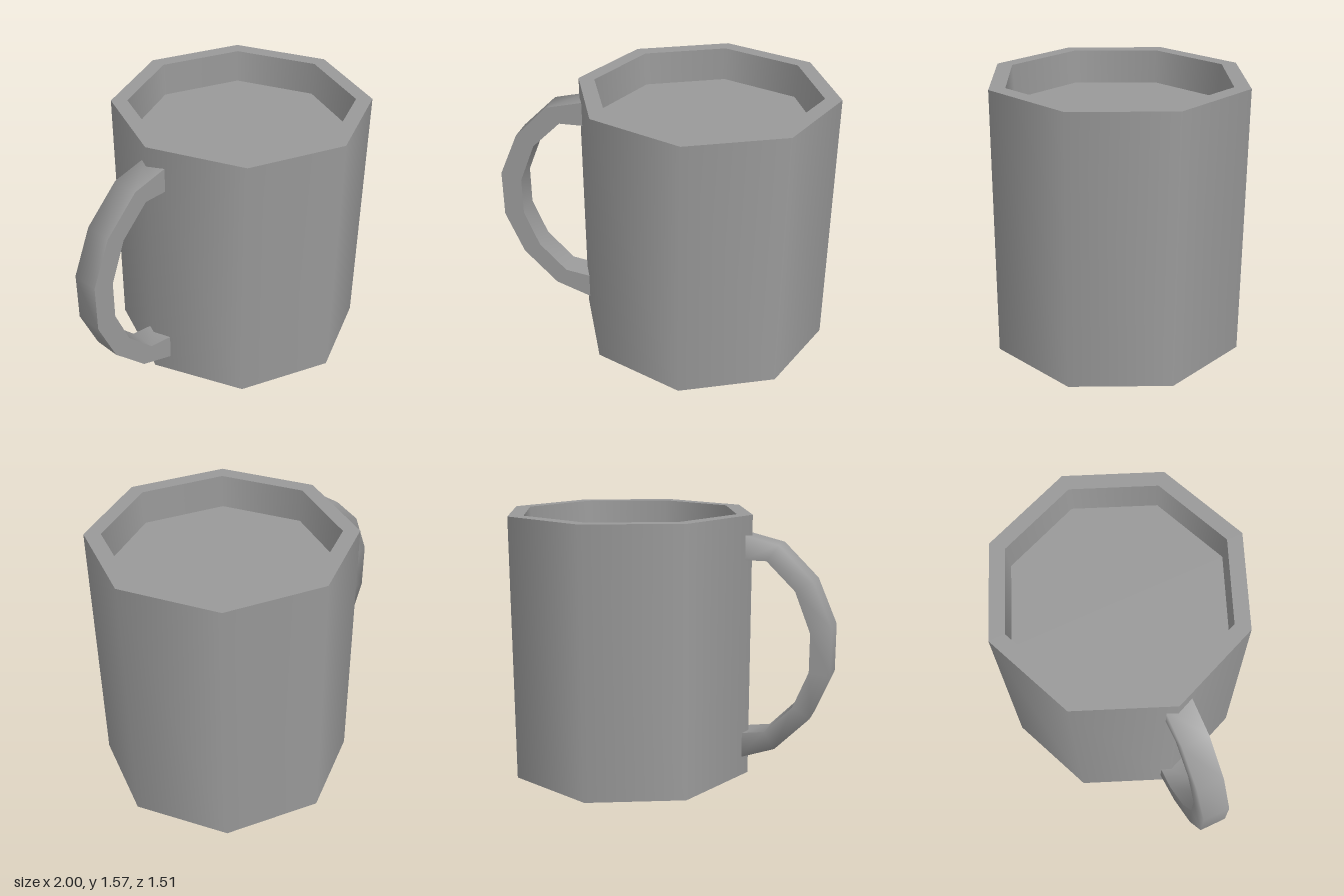
import * as THREE from 'three';

const grey = new THREE.MeshStandardMaterial({ color: 0x999999, side: THREE.DoubleSide });
grey.name = 'plain grey';

const SIDES = 8;
const HEIGHT = 1.57;
const FLOOR = 1.37;
const R_OUT = 0.755, R_IN = 0.66, R_FLOOR = 0.65;

// One eight-sided band swept between two (radius, height) points
function band(name, from, to) {
  const points = [new THREE.Vector2(...from), new THREE.Vector2(...to)];
  const mesh = new THREE.Mesh(new THREE.LatheGeometry(points, SIDES), grey);
  mesh.name = name;
  return mesh;
}

// Smooth skin stretched over several rows of points of equal length
function skin(name, rows) {
  const n = rows[0].length;
  const index = [];
  for (let r = 0; r < rows.length - 1; r++) {
    for (let i = 0; i < n - 1; i++) {
      const a = r * n + i, b = a + n;
      index.push(a, b, a + 1, b, b + 1, a + 1);
    }
  }
  const geometry = new THREE.BufferGeometry();
  geometry.setAttribute('position', new THREE.Float32BufferAttribute(rows.flat(2), 3));
  geometry.setIndex(index);
  geometry.computeVertexNormals();
  const mesh = new THREE.Mesh(geometry, grey);
  mesh.name = name;
  return mesh;
}

export function createModel() {
  const model = new THREE.Group();
  model.name = 'mug';

  // Octagonal cup, filled almost to the rim
  const cup = new THREE.Group();
  cup.name = 'cup';
  cup.position.x = 0.245;
  cup.add(
    band('base', [0, 0], [R_OUT, 0]),
    band('outerWall', [R_OUT, 0], [R_OUT, HEIGHT]),
    band('rim', [R_OUT, HEIGHT], [R_IN, HEIGHT]),
    band('innerWall', [R_IN, HEIGHT], [R_FLOOR, FLOOR]),
    band('drinkSurface', [R_FLOOR, FLOOR], [0, FLOOR]),
  );
  model.add(cup);

  // Handle: outer and inner outlines from top to bottom
  const outer = [[-0.467, 1.46], [-0.68, 1.41], [-0.885, 1.21], [-1, 0.945],
    [-1, 0.66], [-0.89, 0.4], [-0.685, 0.19], [-0.467, 0.11]];
  const inner = [[-0.467, 1.315], [-0.61, 1.315], [-0.78, 1.15], [-0.875, 0.91],
    [-0.875, 0.68], [-0.785, 0.46], [-0.62, 0.29], [-0.467, 0.265]];
  const atDepth = (outline, z) => outline.map(([x, y]) => [x, y, z]);
  const outerFront = atDepth(outer, 0.1), outerBack = atDepth(outer, -0.06);
  const innerFront = atDepth(inner, 0.1), innerBack = atDepth(inner, -0.06);

  const handle = new THREE.Group();
  handle.name = 'handle';
  handle.add(
    skin('handleOuterAndBack', [outerFront, outerBack, innerBack]),
    skin('handleInner', [innerBack, innerFront]),
    skin('handleFront', [innerFront, outerFront]),
  );
  model.add(handle);

  return model;
}
